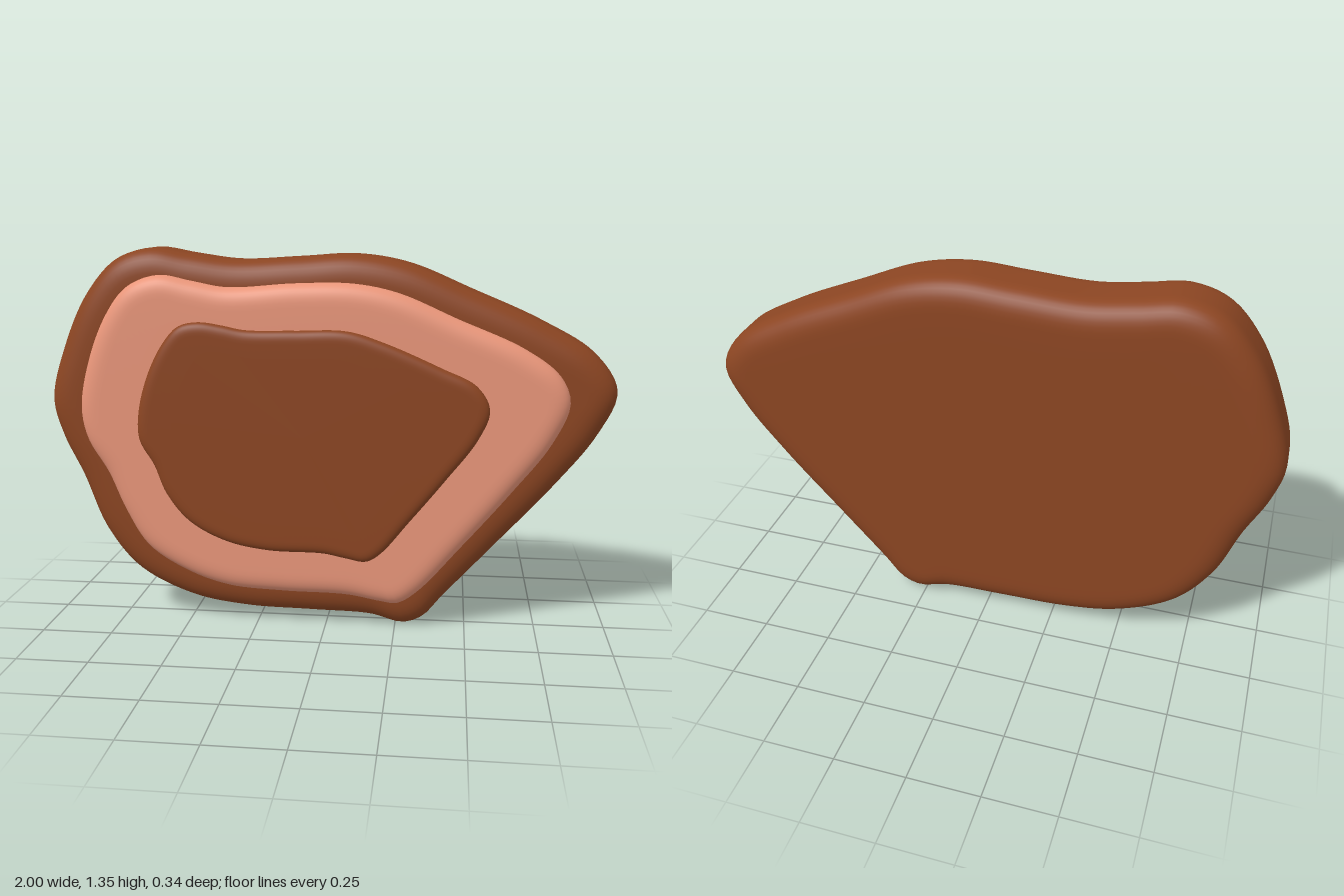
import * as THREE from 'three';

const BROWN = 0x8b4522, SALMON = 0xe9967a;
const SEGMENTS = 180;

// Outlines as x, y pairs, clockwise as seen from the front
const baseOutline = [
  -0.62, 1.35, -0.48, 1.33, -0.32, 1.31, -0.1, 1.32, 0.1, 1.33, 0.28, 1.3, 0.5, 1.21,
  0.75, 1.1, 0.93, 0.99, 1, 0.87, 0.94, 0.72, 0.8, 0.535, 0.6, 0.31, 0.42, 0.11,
  0.35, 0.03, 0.28, 0.003, 0.16, 0.03, -0.05, 0.037, -0.3, 0.045, -0.5, 0.08, -0.7, 0.18,
  -0.82, 0.33, -0.9, 0.53, -0.97, 0.68, -1, 0.81, -0.95, 1, -0.86, 1.19, -0.75, 1.31];
const middleOutline = [
  -0.58, 1.26, -0.46, 1.24, -0.34, 1.22, -0.1, 1.235, 0.1, 1.235, 0.25, 1.205, 0.45, 1.12,
  0.68, 1.02, 0.8, 0.93, 0.835, 0.84, 0.78, 0.7, 0.65, 0.525, 0.48, 0.32, 0.33, 0.15,
  0.26, 0.105, 0.2, 0.11, 0.08, 0.13, -0.15, 0.135, -0.35, 0.15, -0.5, 0.2, -0.64, 0.29,
  -0.72, 0.42, -0.78, 0.56, -0.85, 0.68, -0.87, 0.79, -0.84, 0.95, -0.77, 1.12, -0.69, 1.22];
const topOutline = [
  -0.43, 1.105, -0.35, 1.095, -0.27, 1.08, -0.1, 1.08, 0.08, 1.08, 0.2, 1.045, 0.4, 0.96,
  0.52, 0.9, 0.565, 0.82, 0.53, 0.72, 0.42, 0.57, 0.3, 0.42, 0.2, 0.3, 0.15, 0.27,
  0.08, 0.28, 0, 0.295, -0.2, 0.3, -0.35, 0.33, -0.48, 0.4, -0.56, 0.5, -0.6, 0.6,
  -0.65, 0.69, -0.65, 0.79, -0.61, 0.93, -0.55, 1.04, -0.5, 1.09];

// Slab with a pillowy rim: rings of the outline, inset along a rounded profile
function pillowSlab(name, outline, zBack, zFront, roundZ, inset, color) {
  const knots = [];
  for (let i = 0; i < outline.length; i += 2) knots.push(new THREE.Vector3(outline[i], outline[i + 1], 0));
  const curve = new THREE.CatmullRomCurve3(knots, true);
  const rim = curve.getSpacedPoints(SEGMENTS).slice(0, SEGMENTS);
  const centre = rim.reduce((s, p) => s.add(p), new THREE.Vector3()).divideScalar(SEGMENTS);

  // Inward directions, averaged over a wide chord so tight corners stay clean
  const inward = rim.map((_, i) => {
    const t = rim[(i + 8) % SEGMENTS].clone().sub(rim[(i + SEGMENTS - 8) % SEGMENTS]);
    return new THREE.Vector3(t.y, -t.x, 0).normalize();
  });

  // Profile from the back centre, around the rim, to the front centre
  const half = [];
  const steps = 10;
  for (let k = 0; k <= steps; k++) {
    const a = (k / steps) * Math.PI / 2;
    half.push({
      d: inset * (1 - Math.cos(a) ** 0.8),
      z: zFront - roundZ * (1 - Math.sin(a) ** 0.8),
      s: 0,
    });
  }
  half.push({ d: inset, z: zFront, s: 0.15 }, { d: inset, z: zFront, s: 1 });
  const back = half.map(r => ({ ...r, z: zBack + zFront - r.z })).reverse();
  const profile = [...back, ...half];

  const positions = [], index = [];
  for (const { d, z, s } of profile) {
    rim.forEach((p, i) => {
      const q = p.clone().addScaledVector(inward[i], d).lerp(centre, s);
      positions.push(q.x, q.y, z);
    });
  }
  for (let j = 0; j < profile.length - 1; j++) {
    for (let i = 0; i < SEGMENTS; i++) {
      const n = (i + 1) % SEGMENTS;
      const a = j * SEGMENTS + i, b = j * SEGMENTS + n;
      const c = a + SEGMENTS, e = b + SEGMENTS;
      if (j > 0) index.push(a, c, b);
      if (j < profile.length - 2) index.push(b, c, e);
    }
  }
  const geometry = new THREE.BufferGeometry();
  geometry.setAttribute('position', new THREE.Float32BufferAttribute(positions, 3));
  geometry.setIndex(index);
  geometry.computeVertexNormals();
  const mesh = new THREE.Mesh(geometry, new THREE.MeshStandardMaterial({ color }));
  mesh.name = name;
  return mesh;
}

export function createModel() {
  const group = new THREE.Group();
  group.name = 'layeredPatch';
  group.add(
    pillowSlab('baseSlab', baseOutline, -0.17, 0.09, 0.09, 0.11, BROWN),
    pillowSlab('middleLayer', middleOutline, 0.03, 0.145, 0.055, 0.08, SALMON),
    pillowSlab('topLayer', topOutline, 0.11, 0.17, 0.03, 0.045, BROWN),
  );
  return group;
}
